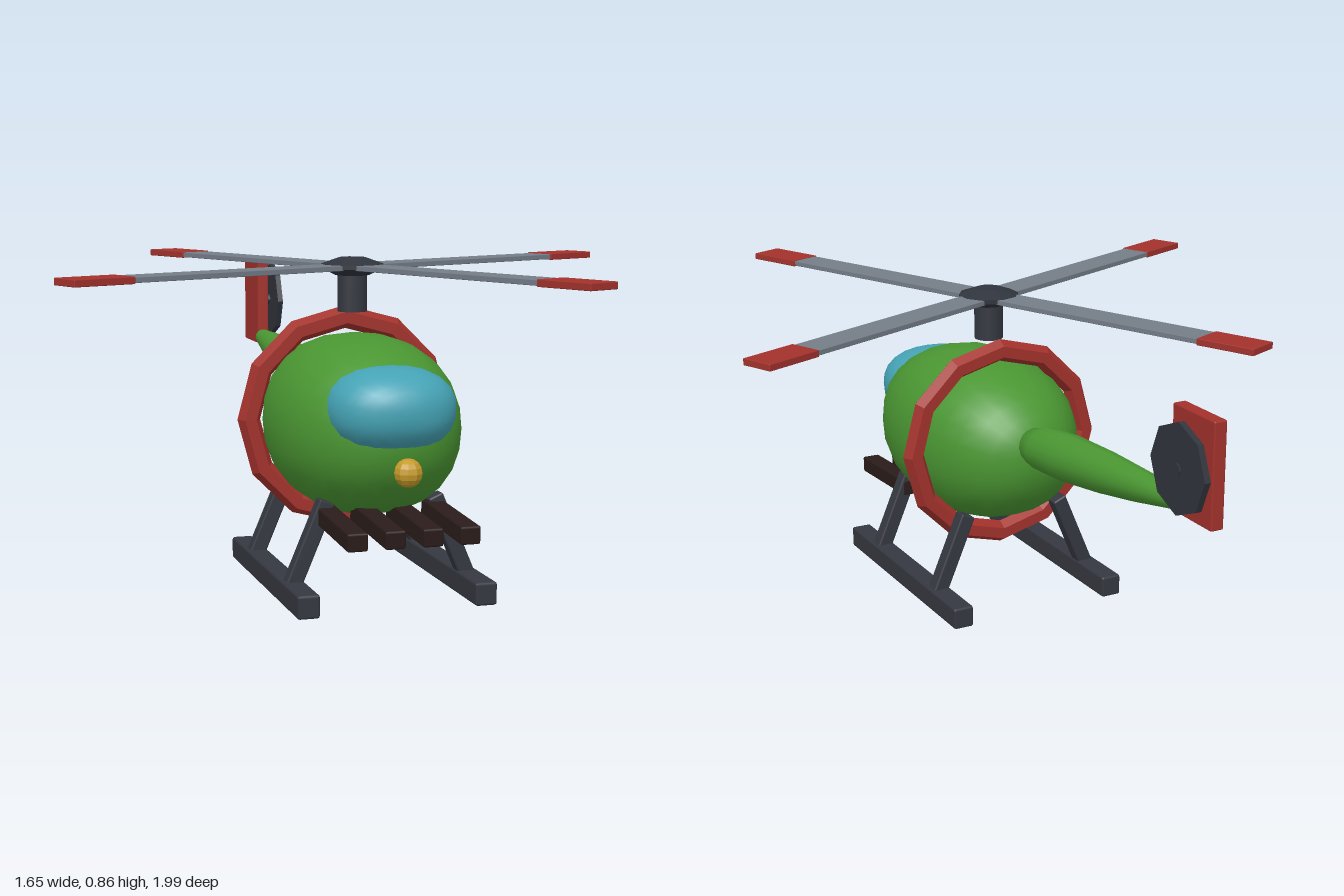
import * as THREE from 'three';
import { mergeVertices } from 'three/addons/utils/BufferGeometryUtils.js';
import { RoundedBoxGeometry } from 'three/addons/geometries/RoundedBoxGeometry.js';

const paint = (color, flatShading = false) => new THREE.MeshStandardMaterial({ color, flatShading });
const green = paint(0x4a9632), red = paint(0xa3322c), redFlat = paint(0xa3322c, true);
const glass = paint(0x45a3b5), gold = paint(0xc59a2a, true), steel = paint(0x757d88);
const dark = paint(0x353840), darkFlat = paint(0x30343c, true), brown = paint(0x2a1c1a);

function add(parent, name, geometry, material, x = 0, y = 0, z = 0) {
  const mesh = new THREE.Mesh(geometry, material);
  mesh.name = name;
  mesh.position.set(x, y, z);
  parent.add(mesh);
  return mesh;
}

const box = (w, h, d) => new RoundedBoxGeometry(w, h, d, 1, Math.min(w, h, d) * 0.12);

// Ellipsoid with slightly squared shoulders, poles along z
function blob(rx, ry, rz, power, segments = 24) {
  let g = new THREE.SphereGeometry(1, segments, segments * 0.75).rotateX(Math.PI / 2);
  g.deleteAttribute('uv');
  g.deleteAttribute('normal');
  const p = g.attributes.position, v = new THREE.Vector3();
  for (let i = 0; i < p.count; i++) {
    v.fromBufferAttribute(p, i);
    const sum = Math.abs(v.x) ** power + Math.abs(v.y) ** power + Math.abs(v.z) ** power;
    v.multiplyScalar(sum ** (-1 / power));
    p.setXYZ(i, v.x * rx, v.y * ry, v.z * rz);
  }
  g = mergeVertices(g, 1e-5);
  g.computeVertexNormals();
  return g;
}

export function createModel() {
  const model = new THREE.Group();
  model.name = 'helicopter';

  // Cabin, windscreen and nose lamp
  add(model, 'cabin', blob(0.244, 0.234, 0.358, 2.2), green, 0, 0.432, 0.235);
  add(model, 'windscreen', blob(0.164, 0.108, 0.148, 2.35), glass, 0, 0.503, 0.487);
  add(model, 'noseLamp', new THREE.SphereGeometry(0.036, 10, 8), gold, 0, 0.365, 0.632);

  // Twelve-sided hoop around the cabin
  add(model, 'hoop', new THREE.TorusGeometry(0.268, 0.031, 6, 12), redFlat, 0, 0.43, 0.1);

  // Tail boom: lathe laid backwards, rising toward the tip
  const profile = [[0, 0], [0.05, 0], [0.064, 0.07], [0.067, 0.2], [0.058, 0.38], [0.044, 0.54], [0.025, 0.7], [0, 0.715]];
  const boom = new THREE.LatheGeometry(profile.map(([r, t]) => new THREE.Vector2(r, t)), 16).rotateX(-Math.PI / 2);
  const bp = boom.attributes.position;
  for (let i = 0; i < bp.count; i++) bp.setY(i, bp.getY(i) * 0.95 - bp.getZ(i) * 0.1);
  boom.computeVertexNormals();
  add(model, 'tailBoom', boom, green, 0, 0.481, -0.1);

  // Tail fin and octagonal side rotor
  add(model, 'tailFin', box(0.035, 0.265, 0.172), red, 0, 0.663, -0.886);
  add(model, 'tailRotor', new THREE.CylinderGeometry(0.114, 0.114, 0.016, 8).rotateZ(Math.PI / 2), darkFlat, 0.05, 0.664, -0.886);
  add(model, 'tailRotorHub', new THREE.CylinderGeometry(0.016, 0.016, 0.05, 8).rotateZ(Math.PI / 2), darkFlat, 0.037, 0.664, -0.886);

  // Mast, hub and four blades
  const rotor = new THREE.Group();
  rotor.name = 'mainRotor';
  rotor.position.set(0, 0.836, 0.165);
  model.add(rotor);
  add(rotor, 'mast', new THREE.CylinderGeometry(0.04, 0.04, 0.12, 12), dark, 0, -0.058, 0);
  const hub = [[0, -0.022], [0.045, -0.022], [0.083, -0.004], [0.083, 0.008], [0.035, 0.025], [0, 0.025]];
  add(rotor, 'hub', new THREE.LatheGeometry(hub.map(([r, y]) => new THREE.Vector2(r, y)), 10), darkFlat);
  for (let i = 0; i < 4; i++) {
    const blade = new THREE.Group();
    blade.name = 'blade';
    blade.rotation.y = THREE.MathUtils.degToRad(23.4) + i * Math.PI / 2;
    rotor.add(blade);
    add(blade, 'bladeSpar', box(0.68, 0.014, 0.086), steel, 0.38, 0, 0);
    add(blade, 'bladeTip', box(0.168, 0.018, 0.093), red, 0.796, 0, 0);
  }

  // Four square tubes under the nose, dipping forward
  for (const x of [-0.144, -0.048, 0.048, 0.144]) {
    add(model, 'noseTube', box(0.052, 0.046, 0.3), brown, x, 0.219, 0.537).rotation.x = 0.05;
  }

  // Skids on splayed struts
  for (const side of [1, -1]) {
    add(model, side > 0 ? 'leftSkid' : 'rightSkid', box(0.058, 0.06, 0.705), dark, side * 0.233, 0.03, 0.218);
    for (const z of [0.41, 0.03]) {
      const strut = add(model, 'strut', box(0.042, 0.24, 0.042), dark, side * 0.191, 0.151, z);
      strut.rotation.z = side * 0.4;
    }
  }
  return model;
}
